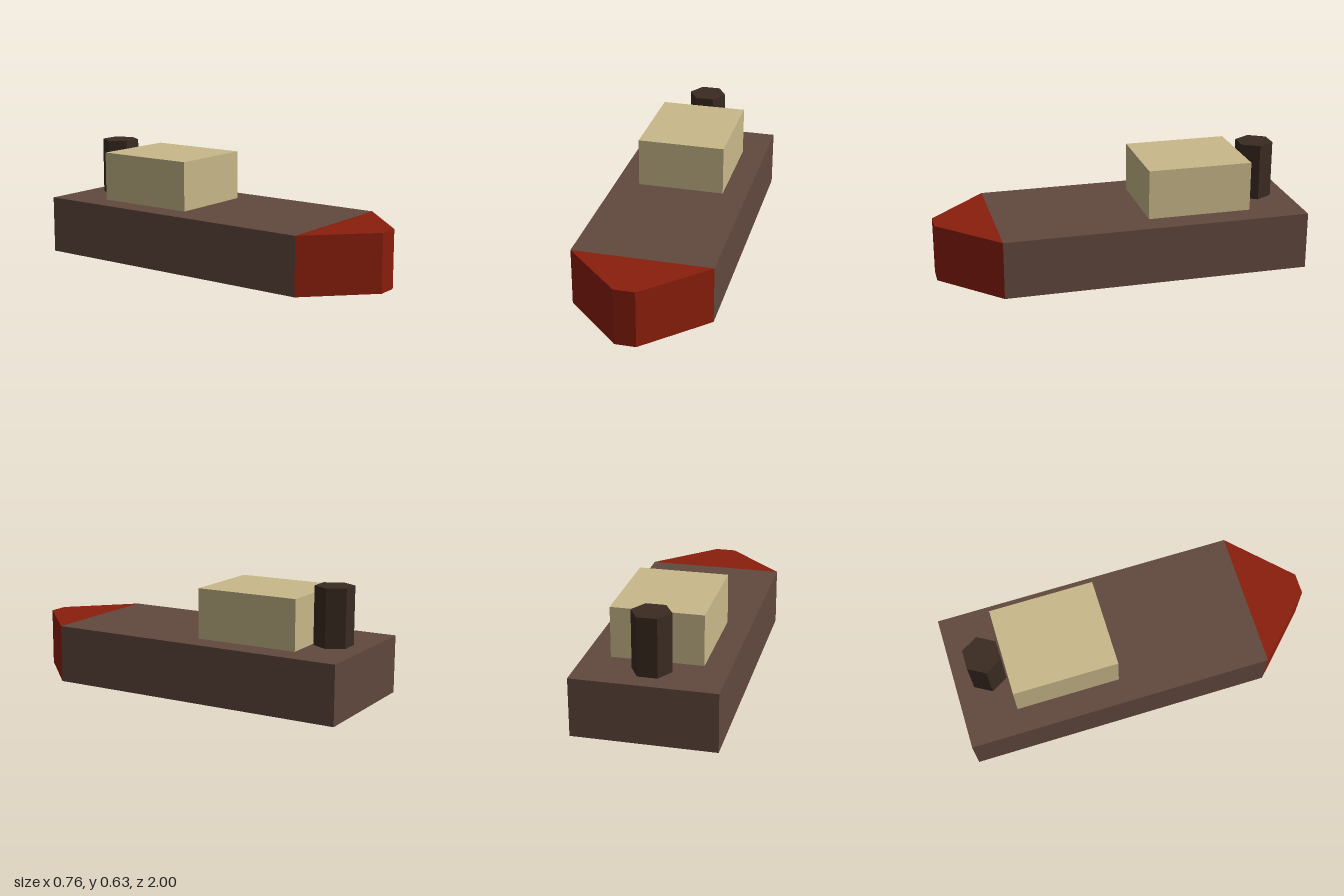
import * as THREE from 'three';

const DECK = 0.317;

// Flat-shaded prism with a roof and no floor. Outline is [x, z], counter-clockwise from above.
function openPrism(outline, y0, y1, skipWall = -1) {
  const pos = [];
  const n = outline.length;
  const put = (p, y) => pos.push(p[0], y, p[1]);
  outline.forEach((a, i) => {
    if (i === skipWall) return;
    const b = outline[(i + 1) % n];
    put(a, y0); put(b, y0); put(b, y1);
    put(a, y0); put(b, y1); put(a, y1);
  });
  for (let i = 1; i < n - 1; i++) {
    put(outline[0], y1); put(outline[i], y1); put(outline[i + 1], y1);
  }
  const geo = new THREE.BufferGeometry();
  geo.setAttribute('position', new THREE.Float32BufferAttribute(pos, 3));
  geo.computeVertexNormals();
  return geo;
}

const rectangle = (hx, zBack, zFront) => [[-hx, zFront], [hx, zFront], [hx, zBack], [-hx, zBack]];

function material(name, color) {
  const m = new THREE.MeshStandardMaterial({ color, side: THREE.DoubleSide, flatShading: true });
  m.name = name;
  return m;
}

export function createModel() {
  const boat = new THREE.Group();
  boat.name = 'boat';
  const add = (name, geo, mat) => {
    const mesh = new THREE.Mesh(geo, mat);
    mesh.name = name;
    boat.add(mesh);
    return mesh;
  };

  // Hollow hull, open below; its front wall is the bow's bulkhead
  add('hull', openPrism(rectangle(0.379, -1, 0.683), 0, DECK, 0), material('hull brown', 0x61483e));

  // Tapered, blunt bow, also open below
  const bowOutline = [[-0.379, 0.683], [-0.057, 1], [0.057, 1], [0.379, 0.683]];
  add('bow', openPrism(bowOutline, 0, DECK), material('bow red', 0x8b1e0c));

  // Cabin on the deck
  add('cabin', openPrism(rectangle(0.243, -0.71, -0.135), DECK, 0.59), material('cabin cream', 0xc8b88a));

  // Six-sided funnel behind the cabin, corners pointing to the sides
  const height = 0.632 - DECK;
  const funnel = add('funnel',
    new THREE.CylinderGeometry(0.105, 0.105, height, 6, 1, false, Math.PI / 6),
    material('funnel dark brown', 0x3a2b21));
  funnel.position.set(0, DECK + height / 2, -0.812);

  return boat;
}
